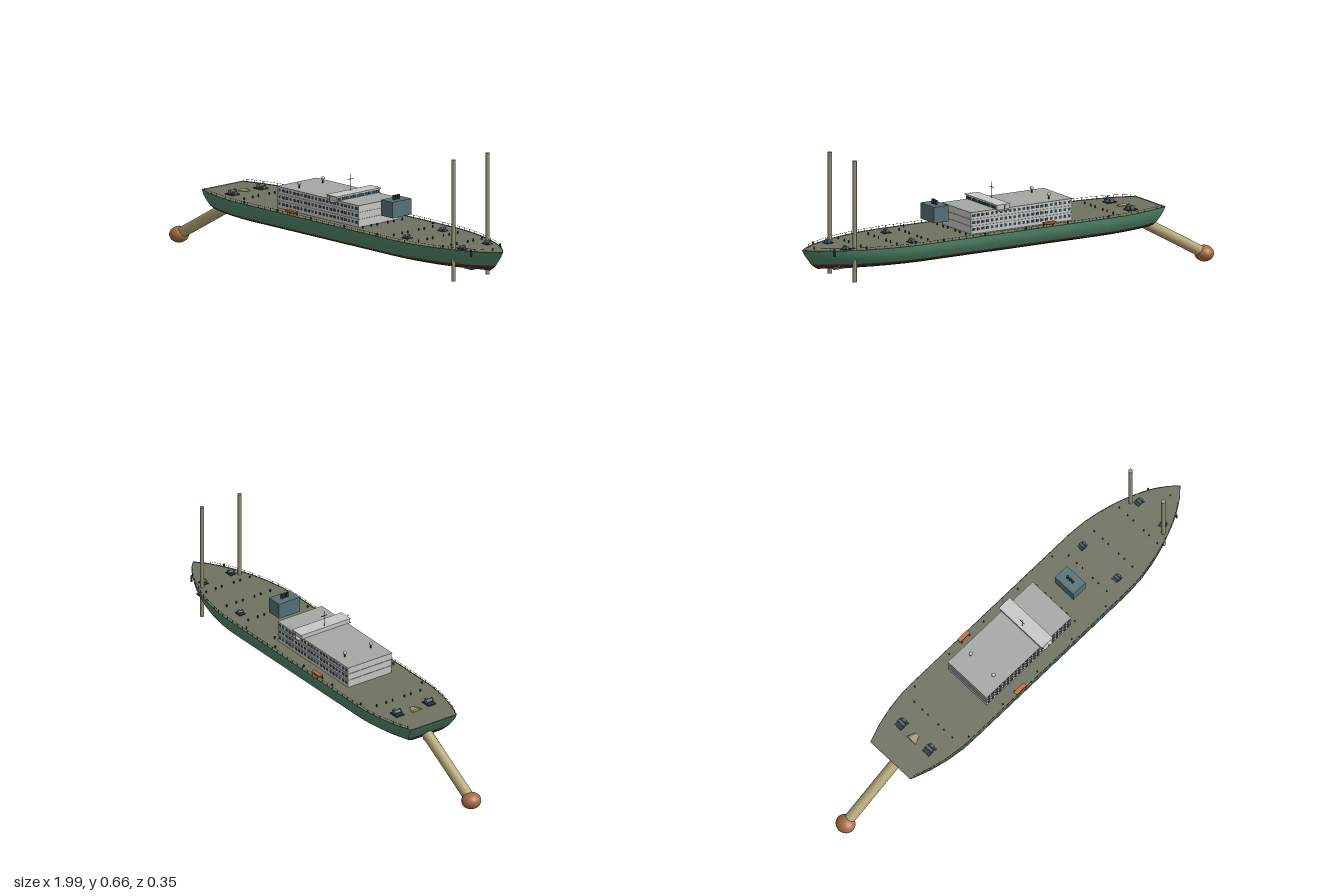
import * as THREE from 'three';

const mat = (color, side = THREE.FrontSide) => {
  const m = new THREE.MeshStandardMaterial({ color });
  m.side = side;
  return m;
};
const green = mat(0x4f8468, THREE.DoubleSide), red = mat(0x5e2826), deckGrey = mat(0x6f7260);
const white = mat(0xc6c8c3), trim = mat(0xa4a7a2), glass = mat(0x2f4a58), teal = mat(0x557277);
const dark = mat(0x2b3436), tan = mat(0xb3a678), spudTan = mat(0x9a9479), copper = mat(0xa66a42), orange = mat(0xc66a2c);

// hull levels: height, beam factor, stern x, bow x
const LEVELS = [
  [0.285, 1, -0.70, 0.99], [0.265, 1, -0.69, 0.98], [0.245, 0.975, -0.677, 0.965], [0.222, 0.9, -0.662, 0.947],
  [0.21, 0.82, -0.652, 0.933], [0.2, 0.66, -0.645, 0.918], [0.197, 0, -0.643, 0.915],
];
// half beam along the deck
const PLAN = [[-0.70, 0.115], [-0.62, 0.143], [-0.54, 0.162], [-0.46, 0.173], [-0.4, 0.175], [0.1, 0.175], [0.52, 0.175],
  [0.6, 0.169], [0.68, 0.154], [0.76, 0.132], [0.84, 0.101], [0.9, 0.07], [0.95, 0.037], [0.99, 0]];

function halfBeam(x) {
  let i = 1;
  while (i < PLAN.length - 1 && PLAN[i][0] < x) i++;
  const [a, wa] = PLAN[i - 1], [b, wb] = PLAN[i];
  return THREE.MathUtils.mapLinear(x, a, b, wa, wb);
}

function hullPoint(i, level, s) {
  const [y, f, xs, xb] = LEVELS[level];
  return [THREE.MathUtils.mapLinear(PLAN[i][0], -0.7, 0.99, xs, xb), y, s * f * PLAN[i][1]];
}

// surface through a grid of points
function grid(nu, nv, fn) {
  const pos = [], idx = [];
  for (let i = 0; i < nu; i++) {
    for (let j = 0; j < nv; j++) {
      pos.push(...fn(i, j));
      if (i < nu - 1 && j < nv - 1) {
        const a = i * nv + j, b = a + 1, d = a + nv, c = d + 1;
        idx.push(a, b, c, a, c, d);
      }
    }
  }
  const g = new THREE.BufferGeometry();
  g.setAttribute('position', new THREE.Float32BufferAttribute(pos, 3));
  g.setIndex(idx);
  g.computeVertexNormals();
  return g;
}

function add(parent, name, geo, material, x = 0, y = 0, z = 0) {
  const m = new THREE.Mesh(geo, material);
  m.name = name;
  m.position.set(x, y, z);
  parent.add(m);
  return m;
}
const box = (w, h, d) => new THREE.BoxGeometry(w, h, d);
const cyl = (r, h, n = 12, r2 = r) => new THREE.CylinderGeometry(r, r2, h, n);

function addHull(root) {
  const n = PLAN.length, hull = new THREE.Group();
  hull.name = 'hull';
  root.add(hull);
  add(hull, 'leftPlating', grid(n, 4, (i, j) => hullPoint(i, j, 1)), green);
  add(hull, 'rightPlating', grid(n, 4, (i, j) => hullPoint(i, 3 - j, -1)), green);
  add(hull, 'bottom', grid(n, 7, (i, j) => hullPoint(i, 6 - Math.abs(j - 3), j < 3 ? 1 : -1)), red);
  add(hull, 'transom', grid(4, 2, (i, j) => hullPoint(0, 3 - i, j ? 1 : -1)), green);
  add(hull, 'transomBottom', grid(4, 2, (i, j) => hullPoint(0, 6 - i, j ? 1 : -1)), red);
  add(hull, 'deck', grid(n, 2, (i, j) => [hullPoint(i, 0, 1)[0], 0.282, (j ? 1 : -1) * PLAN[i][1] * 0.995]), deckGrey);
}

function addRailing(root, s) {
  const rail = new THREE.Group();
  rail.name = 'railing';
  root.add(rail);
  const post = cyl(0.0009, 0.013, 5), path = [];
  for (let x = -0.68; x < 0.95; x += 0.035) {
    const z = s * (halfBeam(x) - 0.003);
    add(rail, 'railPost', post, dark, x, 0.288, z);
    path.push(new THREE.Vector3(x, 0.294, z));
  }
  add(rail, 'handRail', new THREE.TubeGeometry(new THREE.CatmullRomCurve3(path), 90, 0.0006, 4), dark);
}

function addAccommodation(root) {
  const house = new THREE.Group();
  house.name = 'accommodation';
  root.add(house);
  add(house, 'deckhouse', box(0.49, 0.091, 0.22), white, -0.005, 0.3275, 0);
  const pane = box(0.012, 0.011, 0.003);
  for (let row = 0; row < 3; row++) {
    const y = 0.301 + row * 0.029;
    add(house, 'deckLedge', box(0.494, 0.002, 0.224), trim, -0.005, y + 0.0135, 0);
    for (let k = 0; k < 22; k++)
      for (const s of [-1, 1]) add(house, 'window', pane, glass, -0.236 + k * 0.022, y, s * 0.11);
  }
  // bridge across the roof
  add(house, 'bridge', box(0.06, 0.02, 0.24), white, 0.09, 0.381, 0);
  add(house, 'bridgeRoof', box(0.064, 0.003, 0.25), white, 0.09, 0.391, 0);
  for (let k = -5; k <= 5; k++) add(house, 'bridgeWindow', box(0.002, 0.011, 0.017), glass, 0.1205, 0.38, k * 0.021);
  add(house, 'mast', cyl(0.0012, 0.07, 6), dark, 0.07, 0.426, 0);
  add(house, 'mastYard', box(0.002, 0.002, 0.03), dark, 0.07, 0.44, 0);
  for (const s of [-1, 1]) {
    add(house, 'bridgeWing', box(0.045, 0.003, 0.025), white, 0.09, 0.368, s * 0.12);
    add(house, 'lampPost', cyl(0.001, 0.022, 6), dark, 0.09, 0.377, s * 0.132);
    add(house, 'lamp', new THREE.SphereGeometry(0.003, 10, 8), white, 0.09, 0.39, s * 0.134);
    add(house, 'domeStand', cyl(0.003, 0.016, 8), dark, -0.165, 0.381, s * 0.066);
    add(house, 'antennaDome', new THREE.SphereGeometry(0.008, 14, 10), white, -0.165, 0.393, s * 0.066);
  }
  // funnel block
  add(root, 'funnelHouse', box(0.07, 0.067, 0.106), teal, 0.348, 0.3685, 0);
  for (const z of [-0.014, 0, 0.014]) add(root, 'exhaustPipe', cyl(0.005, 0.02, 12), dark, 0.348, 0.411, z);
}

function addWinch(root, x, z, k = 1) {
  const w = new THREE.Group();
  w.name = 'winch';
  w.position.set(x, 0.282, z);
  w.scale.setScalar(k);
  root.add(w);
  add(w, 'winchBase', box(0.04, 0.004, 0.034), dark, 0, 0.002, 0);
  add(w, 'winchDrum', cyl(0.006, 0.028, 12), teal, 0, 0.011, 0).rotation.x = Math.PI / 2;
  for (const s of [-1, 1]) add(w, 'winchFlange', cyl(0.009, 0.003, 14), teal, 0, 0.011, s * 0.013).rotation.x = Math.PI / 2;
  add(w, 'winchMotor', box(0.012, 0.01, 0.012), teal, 0.014, 0.008, 0);
}

function addLifeboat(root, s) {
  const boat = new THREE.Group();
  boat.name = 'lifeboat';
  boat.position.set(-0.107, 0.3, s * 0.163);
  root.add(boat);
  const hull = add(boat, 'boatHull', new THREE.SphereGeometry(1, 16, 8, 0, Math.PI * 2, Math.PI / 2, Math.PI / 2), orange);
  hull.scale.set(0.036, 0.01, 0.011);
  add(boat, 'boatCover', box(0.058, 0.004, 0.018), orange, 0, 0.001, 0);
  for (const x of [-0.022, 0.022]) add(boat, 'davit', box(0.003, 0.02, 0.003), dark, x, -0.007, -s * 0.01);
}

// suction arm running down from the stern, with its head
function addSuctionArm(root) {
  const top = new THREE.Vector3(-0.63, 0.22, 0), end = new THREE.Vector3(-0.955, 0.038, 0);
  const dir = top.clone().sub(end), mid = top.clone().add(end).multiplyScalar(0.5);
  const tilt = new THREE.Quaternion().setFromUnitVectors(new THREE.Vector3(0, 1, 0), dir.clone().normalize());
  add(root, 'suctionPipe', cyl(0.023, dir.length(), 24), tan, mid.x, mid.y, 0).quaternion.copy(tilt);
  const head = add(root, 'suctionHead', new THREE.SphereGeometry(1, 28, 18), copper, -0.96, 0.034, 0);
  head.scale.set(0.04, 0.034, 0.042);
  for (const s of [-1, 1]) add(root, 'pipeBracket', box(0.02, 0.012, 0.006), tan, -0.655, 0.19, s * 0.013);
  const chute = add(root, 'sternChute', cyl(0.01, 0.036, 4, 0.026), tan, -0.56, 0.285, 0);
  chute.rotation.set(0, Math.PI / 4, Math.PI / 2, 'ZYX');
  chute.rotation.set(0, 0, -Math.PI / 2);
  chute.scale.set(0.3, 1, 1);
}

export function createModel() {
  const ship = new THREE.Group();
  ship.name = 'dredgingShip';
  addHull(ship);
  addAccommodation(ship);
  addSuctionArm(ship);
  for (const s of [-1, 1]) {
    addRailing(ship, s);
    addLifeboat(ship, s);
    add(ship, 'spudPile', cyl(0.009, 0.51, 20), spudTan, 0.795, 0.402, s * 0.095);
    addWinch(ship, -0.553, s * 0.08, 1.15);
    addWinch(ship, 0.52, s * 0.1, 0.85);
    addWinch(ship, 0.82, s * 0.07, 0.85);
    // anchor on the bow
    add(ship, 'hawsePipe', cyl(0.004, 0.03, 10), dark, 0.885, 0.278, s * 0.082);
    add(ship, 'anchorShank', box(0.006, 0.024, 0.006), teal, 0.85, 0.214, s * 0.062);
    add(ship, 'anchorFlukes', box(0.05, 0.006, 0.018), teal, 0.85, 0.205, s * 0.057);
    // mooring bollards
    for (const x of [-0.45, 0.265, 0.45, 0.6, 0.745])
      for (const z of [0.03, 0.062, 0.11]) add(ship, 'bollard', cyl(0.003, 0.01, 8), dark, x, 0.287, s * z);
    for (const x of [-0.4, -0.2, 0, 0.2, 0.4]) add(ship, 'sideBollard', cyl(0.003, 0.01, 8), dark, x, 0.287, s * 0.155);
  }
  add(ship, 'bowPost', cyl(0.003, 0.012, 10), copper, 0.93, 0.288, 0);
  return ship;
}
